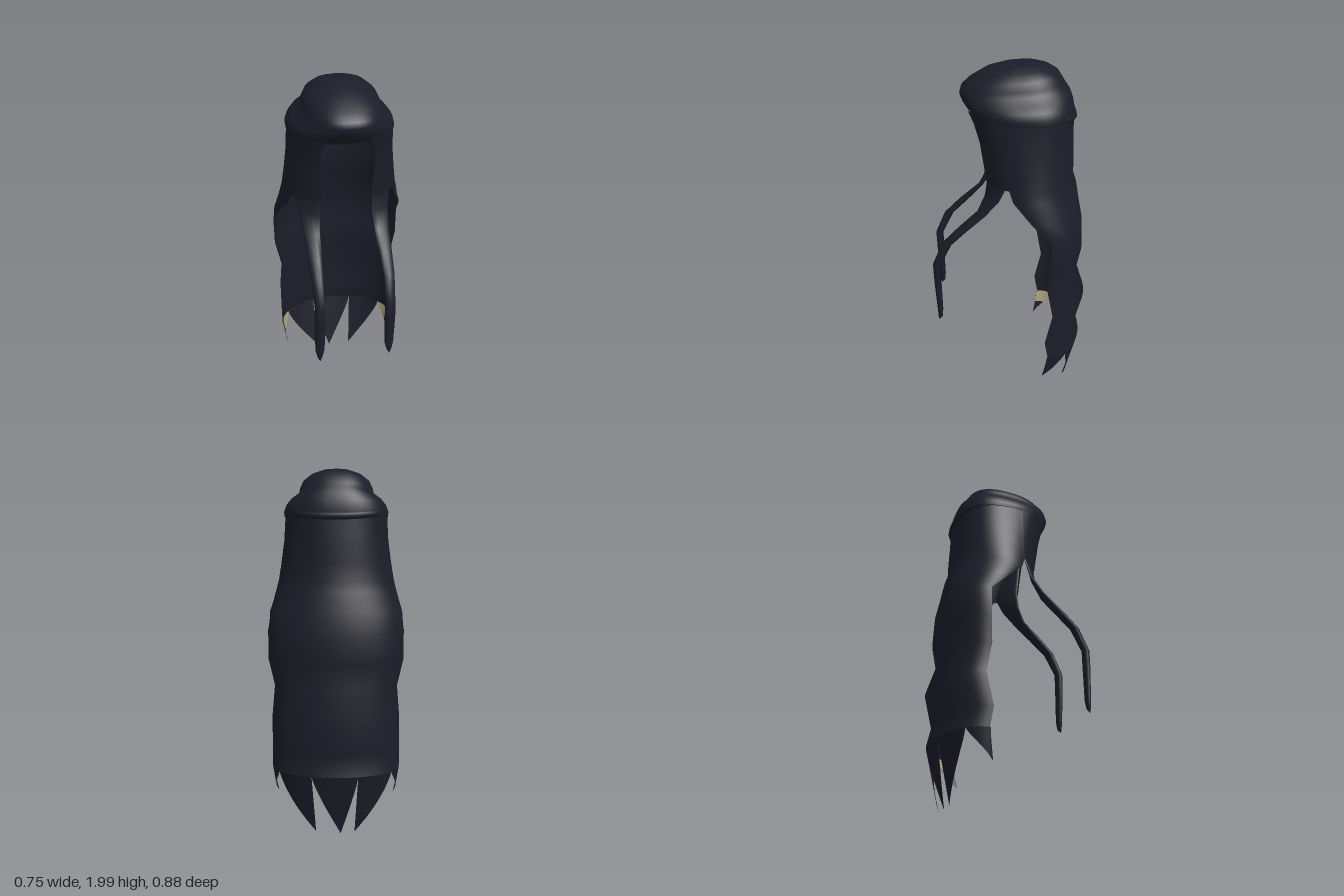
import * as THREE from 'three';

const V = (x, y, z) => new THREE.Vector3(x, y, z);
const lerp = THREE.MathUtils.lerp;
const range = (n, f) => Array.from({ length: n + 1 }, (_, i) => f(i / n));
const power = (v, p) => Math.sign(v) * Math.pow(Math.abs(v), p);

// Skin a list of equal-length point rows with smooth quads
function loft(rows, closed = false) {
  const n = rows[0].length, index = [];
  for (let r = 0; r < rows.length - 1; r++) {
    for (let i = 0; i < (closed ? n : n - 1); i++) {
      const a = r * n + i, b = r * n + (i + 1) % n;
      index.push(a, a + n, b, b, a + n, b + n);
    }
  }
  const g = new THREE.BufferGeometry().setFromPoints(rows.flat());
  g.setIndex(index);
  g.computeVertexNormals();
  return g;
}

// Point on a hair shell: angle 0 is the back, +-PI the front; p < 1 squares it off
function shell(a, y, rx, zc, back, front, p = 1) {
  const c = power(Math.cos(a), p);
  return V(rx * power(Math.sin(a), p), y, zc - c * (c > 0 ? back : front));
}

export function createModel() {
  const group = new THREE.Group();
  const hair = new THREE.MeshStandardMaterial({ color: 0x1c1d29, side: THREE.DoubleSide });
  hair.name = 'dark hair';
  const tan = new THREE.MeshStandardMaterial({ color: 0xb0a37c, side: THREE.DoubleSide });
  tan.name = 'tan lining';
  const add = (name, geometry, material = hair) => {
    const m = new THREE.Mesh(geometry, material);
    m.name = name;
    group.add(m);
  };

  // Crown: rings of half width, front z, back z, front y, back y
  const crown = [
    [0.001, -0.05, -0.052, 2.0, 2.0], [0.08, 0.05, -0.15, 1.988, 1.995],
    [0.14, 0.135, -0.205, 1.96, 1.977], [0.185, 0.218, -0.25, 1.91, 1.95],
    [0.203, 0.257, -0.275, 1.875, 1.91], [0.207, 0.266, -0.292, 1.845, 1.885],
    [0.25, 0.252, -0.312, 1.81, 1.855], [0.275, 0.235, -0.325, 1.785, 1.82],
    [0.287, 0.22, -0.335, 1.765, 1.77], [0.284, 0.21, -0.333, 1.75, 1.735]];
  const crownRows = crown.map(([rx, zf, zb, yf, yb]) => range(47, t => {
    const a = t * Math.PI * 2 * 47 / 48, k = (1 - Math.cos(a)) / 2;
    const zc = lerp(zb, zf, 0.45);
    return shell(a, lerp(yb, yf, k), rx, zc, zc - zb, zf - zc, 0.85);
  }));
  add('crown', loft(crownRows, true));

  // Ceiling under the crown, sloping down to the back
  const rim = crownRows[crownRows.length - 1];
  const ceiling = [1, 0.75, 0.4, 0.001].map(s => rim.map(p =>
    V(p.x * s, lerp(1.705, p.y, s), lerp(-0.15, p.z, s))));
  add('crownUnderside', loft(ceiling, true));

  // Rolled edge around the back of the crown, its ends tucked in
  const roll = new THREE.CatmullRomCurve3(range(16, t => {
    const a = lerp(-1.6, 1.6, t), tuck = 1 - 0.1 * Math.pow(2 * t - 1, 4);
    return shell(a, lerp(1.785, 1.735, Math.cos(a)), 0.272 * tuck, -0.08, 0.25, 0.29, 0.9);
  }));
  add('backRoll', new THREE.TubeGeometry(roll, 48, 0.02, 8));

  // Side panels framing the face: y, half width, centre z, back, front, squareness, inner x
  const head = [
    [1.78, 0.28, -0.08, 0.25, 0.32, 0.85, 0.11], [1.72, 0.282, -0.08, 0.253, 0.3, 0.87, 0.135],
    [1.62, 0.288, -0.08, 0.257, 0.275, 0.9, 0.145], [1.5, 0.304, -0.09, 0.253, 0.265, 0.95, 0.14],
    [1.4, 0.32, -0.1, 0.245, 0.26, 1, 0.135]];
  const edge = (z, zc, f, p) => Math.acos(power((zc - z) / f, 1 / p));
  for (const [side, name] of [[1, 'left'], [-1, 'right']]) {
    add(name + 'Panel', loft(head.map(([y, rx, zc, b, f, p, inner]) => {
      const a0 = edge(0.02, zc, f, p), a1 = Math.PI - Math.asin(Math.pow(inner / rx, 1 / p));
      return range(14, t => shell(side * lerp(a0, a1, t), y, rx, zc, b, f, p));
    })));
  }

  // Long back curtain: as above, with z of the front edge last
  const curtain = [
    ...head.map(row => [...row.slice(0, 6), 0.02]),
    [1.34, 0.335, -0.11, 0.255, 0.25, 1, 0], [1.23, 0.366, -0.145, 0.24, 0.22, 1, -0.1],
    [1.13, 0.373, -0.19, 0.215, 0.2, 1, -0.2], [0.97, 0.372, -0.2, 0.212, 0.2, 1, -0.2],
    [0.82, 0.34, -0.187, 0.198, 0.2, 1, -0.187], [0.65, 0.352, -0.22, 0.22, 0.2, 1, -0.22],
    [0.47, 0.357, -0.18, 0.215, 0.2, 1, -0.18], [0.36, 0.355, -0.2, 0.22, 0.2, 1, -0.2]];
  add('backCurtain', loft(curtain.map(([y, rx, zc, b, f, p, zf]) => {
    const m = edge(zf, zc, f, p);
    return range(40, t => shell(lerp(-m, m, t), y, rx, zc, b, f, p));
  })));

  // Pointed locks along the hem: start angle, end angle, tip angle, tip y
  const lock = (a0, a1, tip, tipY, end = 1, scale = 1) => loft(range(12, u => {
    const s = u * end, y = lerp(0.36, tipY, s), d = (0.36 - y) / 0.35;
    const mid = lerp((a0 + a1) / 2, tip, Math.pow(s, 1.3));
    const half = (a1 - a0) / 2 * (1 - Math.pow(s, 1.3));
    return range(8, t => shell(mid + half * (t * 2 - 1), y,
      lerp(0.355, 0.3, d) * scale, -0.2, lerp(0.22, 0.13, d) * scale, 0.16));
  }));
  add('centreLock', lock(-0.36, 0.36, -0.1, 0.01));

  for (const [side, name] of [[1, 'left'], [-1, 'right']]) {
    const sided = (a0, a1, tip, ...rest) => side > 0
      ? lock(a0, a1, tip, ...rest) : lock(-a1, -a0, -tip, ...rest);
    add(name + 'BackLock', sided(0.36, 1.05, 0.36, 0.02));
    add(name + 'SideLock', sided(1.05, 1.6, 1.75, 0.2));
    add(name + 'LockLining', sided(1.05, 1.6, 1.75, 0.2, 0.5, 0.985), tan);

    // Front strand: y, inner x, inner z, outer x, outer z, half thickness
    const strand = [
      [1.74, 0.145, 0.18, 0.2, 0.15, 0.012], [1.6, 0.145, 0.15, 0.225, 0.09, 0.014],
      [1.42, 0.133, 0.13, 0.265, 0.028, 0.012], [1.32, 0.138, 0.142, 0.247, 0.075, 0.014],
      [1.23, 0.148, 0.18, 0.237, 0.155, 0.016], [1.14, 0.155, 0.275, 0.23, 0.26, 0.027],
      [1.05, 0.16, 0.365, 0.226, 0.355, 0.026], [0.92, 0.165, 0.424, 0.22, 0.42, 0.022],
      [0.8, 0.163, 0.423, 0.225, 0.42, 0.02], [0.62, 0.172, 0.418, 0.222, 0.415, 0.016],
      [0.57, 0.185, 0.42, 0.212, 0.416, 0.012], [0.55, 0.197, 0.426, 0.2, 0.426, 0.002]];
    add(name + 'FrontStrand', loft(strand.map(([y, xi, zi, xo, zo, h]) => range(11, t => {
      const a = t * Math.PI * 2 * 11 / 12, k = (1 - Math.cos(a)) / 2;
      return V(side * lerp(xi, xo, k), y, lerp(zi, zo, k) + h * Math.sin(a));
    })), true));
  }
  return group;
}
